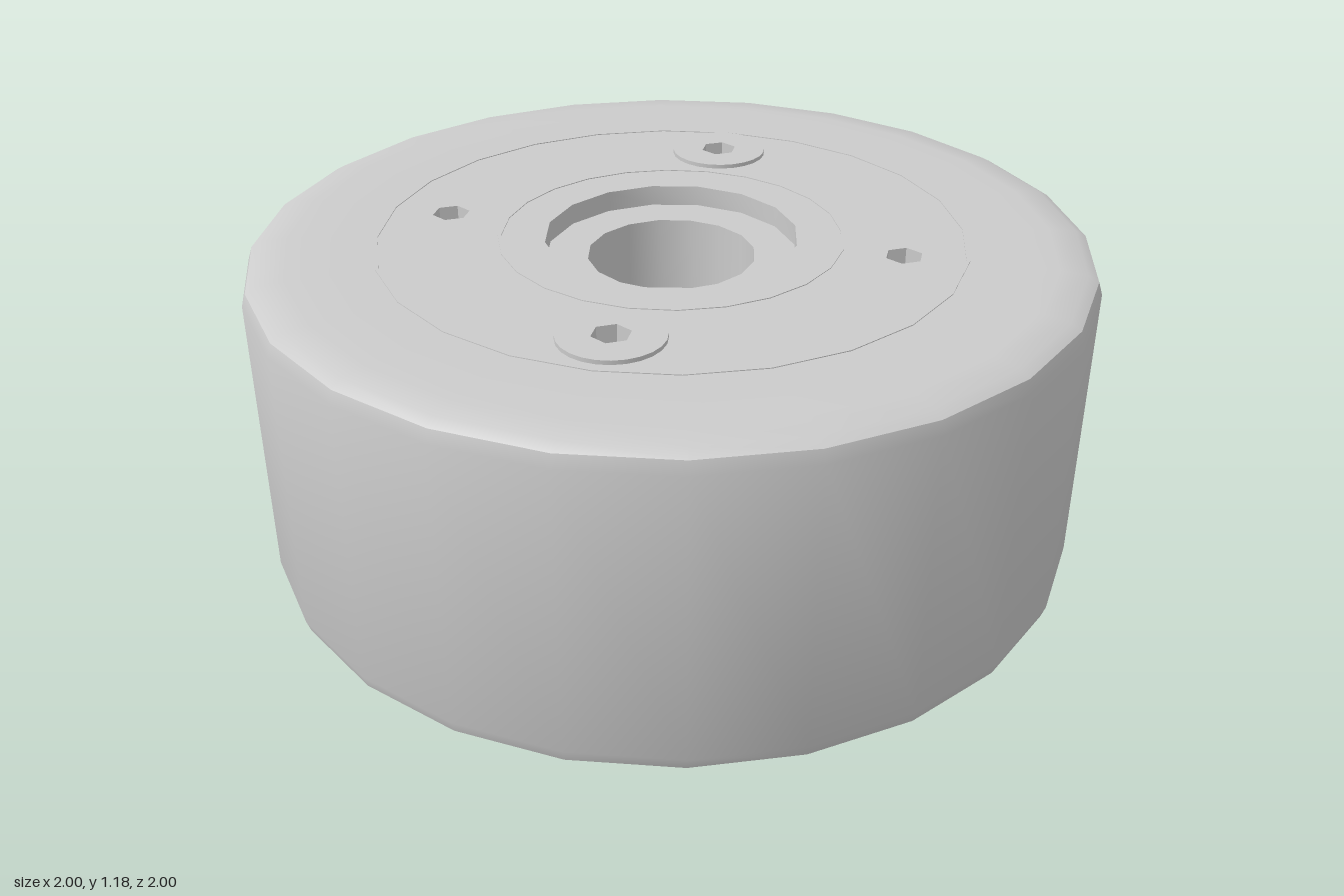
import * as THREE from 'three';
import { toCreasedNormals } from 'three/addons/utils/BufferGeometryUtils.js';

const SIDES = 24, BORE_SIDES = 16;
const TOP = 1.175;
const material = new THREE.MeshStandardMaterial({ color: 0xcccccc });

// Regular polygon, matching the corner positions of a lathe
function ring(r, sides, x = 0, y = 0) {
  return Array.from({ length: sides }, (_, i) => {
    const a = (i / sides) * Math.PI * 2;
    return new THREE.Vector2(x + r * Math.cos(a), y + r * Math.sin(a));
  });
}

function fourRound(distance) {
  return [[distance, 0], [0, distance], [-distance, 0], [0, -distance]];
}

function plate(outer, holes) {
  const shape = new THREE.Shape(outer);
  shape.holes = holes.map((points) => new THREE.Path(points));
  return shape;
}

function slab(shape, y0, y1) {
  const g = new THREE.ExtrudeGeometry(shape, { depth: y1 - y0, bevelEnabled: false });
  return toCreasedNormals(g.rotateX(-Math.PI / 2).translate(0, y0, 0), 0.6);
}

function turned(profile, sides = SIDES) {
  const points = profile.map(([r, y]) => new THREE.Vector2(r, y));
  return toCreasedNormals(new THREE.LatheGeometry(points, sides), 0.6);
}

export function createModel() {
  const model = new THREE.Group();
  const add = (name, geometry, parent = model) => {
    const mesh = new THREE.Mesh(geometry, material);
    mesh.name = name;
    parent.add(mesh);
    return mesh;
  };

  // Drum with softly rounded rims
  add('drum', turned([
    [0.3, 0.38], [0.9, 0.38], [0.965, 0.386], [0.99, 0.4], [1, 0.43],
    [1, 1.125], [0.99, 1.155], [0.965, 1.169], [0.9, TOP], [0.8, TOP],
  ]));

  // Top face with openings for the bore and the screws
  const face = new THREE.ShapeGeometry(plate(ring(0.8, SIDES), [
    ring(0.3, BORE_SIDES),
    ...fourRound(0.55).map(([x, y]) => ring(0.12, SIDES, x, y)),
  ]));
  add('topFace', face.rotateX(-Math.PI / 2).translate(0, TOP, 0));

  // Fine seams on the top face
  for (const r of [0.41, 0.7]) {
    add('topSeam', slab(plate(ring(r, SIDES), [ring(r - 0.008, SIDES)]), TOP - 0.002, TOP + 0.002));
  }

  // Stepped bore through the whole body
  add('bore', turned([
    [0.3, TOP], [0.3, 1.125], [0.2, 1.125], [0.2, 0.145], [0.155, 0.145], [0.155, 0],
  ], BORE_SIDES));

  // Socket-head screws, the front and back ones standing slightly proud
  fourRound(0.55).forEach(([x, z]) => {
    const screw = new THREE.Group();
    screw.name = 'screw';
    screw.position.set(x, TOP + (z ? 0.01 : 0), z);
    const hex = ring(0.045, 6).map((p) => new THREE.Vector2(p.y, p.x)).reverse();
    add('screwHead', slab(plate(ring(0.12, SIDES), [hex]), -0.07, 0), screw);
    const floor = new THREE.CircleGeometry(0.06, 12).rotateX(-Math.PI / 2).translate(0, -0.05, 0);
    add('socketFloor', floor, screw);
    model.add(screw);
  });

  // Mounting flange with four bolt holes
  add('flange', slab(plate(ring(0.7, SIDES), [
    ring(0.46, SIDES),
    ...fourRound(0.555).map(([x, y]) => ring(0.055, 10, x, y)),
  ]), 0.145, 0.385));

  // Tapered neck between flange and hub
  add('neck', turned([[0.2, 0.09], [0.41, 0.09], [0.47, 0.146]]));

  // Hub plate with four small holes
  add('hub', slab(plate(ring(0.41, SIDES), [
    ring(0.155, BORE_SIDES),
    ...fourRound(0.32).map(([x, y]) => ring(0.04, 6, x, y)),
  ]), 0, 0.095));

  return model;
}
